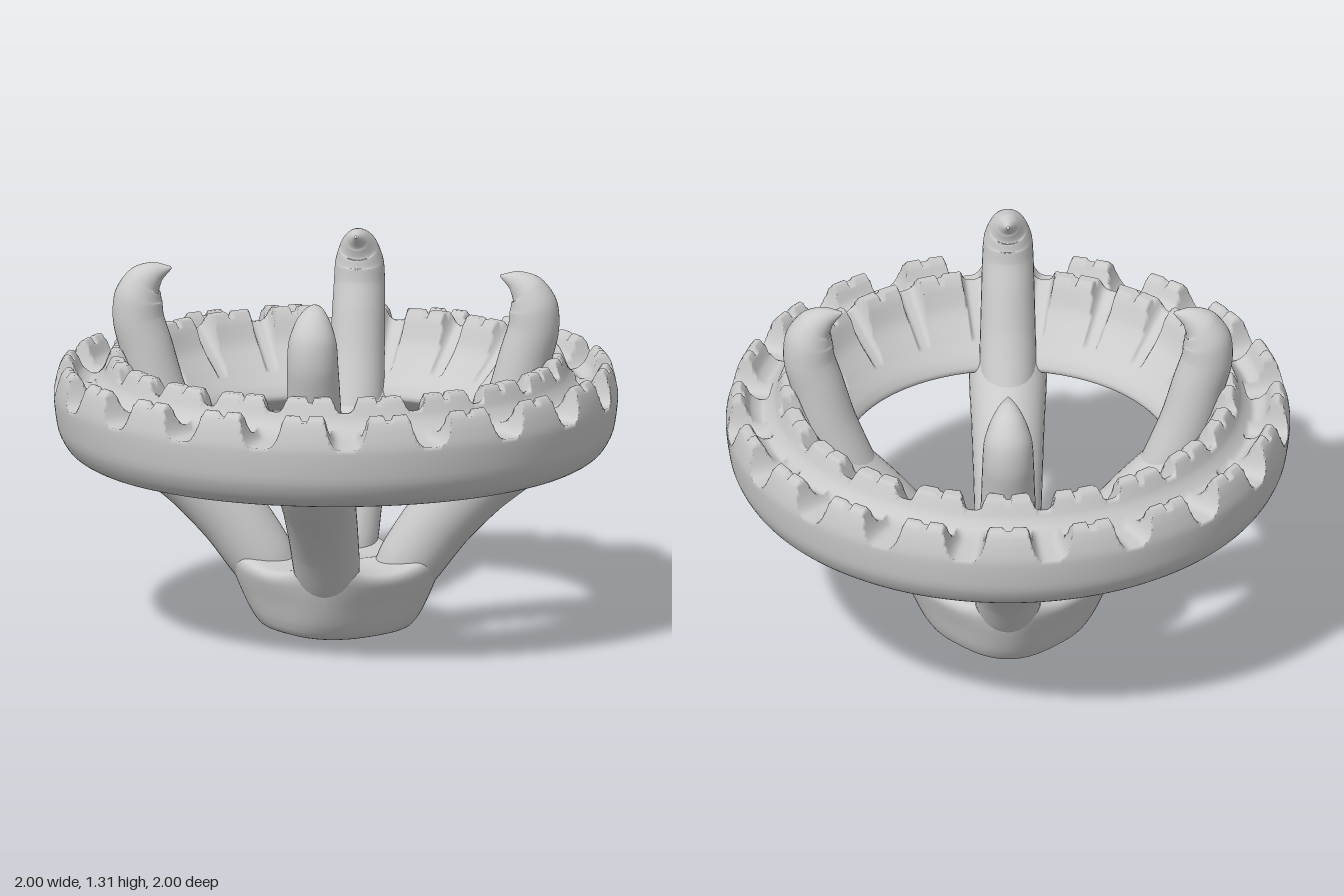
import * as THREE from 'three';
import { ParametricGeometry } from 'three/addons/geometries/ParametricGeometry.js';

const material = new THREE.MeshStandardMaterial({ color: 0xcccccc });

function part(name, rule, uSteps, vSteps) {
  const mesh = new THREE.Mesh(new ParametricGeometry(rule, uSteps, vSteps), material);
  mesh.name = name;
  return mesh;
}

const spline = (points, closed = false) => new THREE.CatmullRomCurve3(
  points.map(([a, b, c = 0]) => new THREE.Vector3(a, b, c)), closed, 'catmullrom', 0.4);

// Ring cross-section as (radius, height): inner edge and wall, inner crest, valley, outer crest, outer wall, underside
const ringProfile = spline([
  [0.583, 0.705], [0.59, 0.745], [0.65, 0.815], [0.71, 0.89], [0.745, 0.975], [0.77, 1.01],
  [0.8, 0.995], [0.83, 0.925], [0.87, 0.885], [0.91, 0.905], [0.935, 0.955], [0.955, 0.975],
  [0.978, 0.95], [0.993, 0.9], [1, 0.84], [0.985, 0.73], [0.95, 0.665], [0.9, 0.632], [0.83, 0.62],
  [0.76, 0.632], [0.67, 0.665],
], true);

// Highest surface allowed at a radius and angle: 20 U-shaped notches, with a small slit in each tooth
const TEETH = 20;
function notchCap(r, angle) {
  const pitch = Math.PI * 2 / TEETH;
  const off = Math.abs(angle / pitch - Math.round(angle / pitch)) * pitch;
  const inner = r < 0.85;
  const d = off * (inner ? 0.78 : 0.97);
  const half = pitch / 2 * (inner ? 0.78 : 0.97);
  const slit = half - d < 0.012 ? 0.022 : 0;
  if (inner) {
    const floor = 0.95 - Math.max(0, 0.8 - r);
    return Math.min(1 - slit, floor + 0.07 * (d / 0.045) ** 4);
  }
  return Math.min(0.97 - slit, 0.855 + 0.115 * (d / 0.08) ** 4);
}

function ringRule(u, v, target) {
  const p = ringProfile.getPoint(u);
  const a = v * Math.PI * 2;
  const y = p.y > 0.8 ? Math.min(p.y, notchCap(p.x, a)) : p.y;
  target.set(p.x * Math.sin(a), y, p.x * Math.cos(a));
}

// Hub: half width and height from the underside to the top
const hubProfile = spline([
  [0.001, 0], [0.12, 0], [0.2, 0.003], [0.24, 0.02], [0.262, 0.06], [0.285, 0.13],
  [0.312, 0.21], [0.305, 0.24], [0.27, 0.25], [0.14, 0.25], [0.001, 0.25],
]);

// Rounded square that gets squarer upwards; its top corners rise into the arms
function hubRule(u, v, target) {
  const p = hubProfile.getPoint(u);
  const a = v * Math.PI * 2;
  const n = 2.6 + 10 * p.y;
  const k = p.x / (Math.abs(Math.cos(a)) ** n + Math.abs(Math.sin(a)) ** n) ** (1 / n);
  const x = k * Math.cos(a);
  const z = k * Math.sin(a);
  const rise = 1.3 * Math.min(Math.abs(x), Math.abs(z)) ** 2 * (p.y / 0.25) ** 3;
  target.set(x, p.y + rise, z);
}

// Round limb in the x-y plane; points are (diagonal x = z, height, radius)
function limbRule(points) {
  const path = spline(points.map(([c, y, r]) => [c * Math.SQRT2, y, r]));
  return (u, v, target) => {
    const p = path.getPoint(u);
    const t = path.getTangent(u);
    const len = Math.hypot(t.x, t.y);
    const a = v * Math.PI * 2;
    const side = Math.cos(a) * p.z;
    target.set(p.x + side * t.y / len, p.y - side * t.x / len, Math.sin(a) * p.z);
  };
}

const armRule = limbRule([
  [0.13, 0.13, 0.085], [0.185, 0.25, 0.115], [0.26, 0.4, 0.123], [0.35, 0.54, 0.13],
  [0.455, 0.67, 0.138], [0.53, 0.75, 0.115], [0.56, 0.78, 0.01],
]);

const hornRule = limbRule([
  [0.34, 0.52, 0.08], [0.41, 0.7, 0.1], [0.45, 0.85, 0.098], [0.478, 1, 0.094], [0.498, 1.1, 0.091],
  [0.499, 1.18, 0.086], [0.484, 1.237, 0.068], [0.455, 1.272, 0.041], [0.415, 1.292, 0.004],
]);

export function createModel() {
  const group = new THREE.Group();
  group.name = 'notchedRingOnStand';
  group.add(part('notchedRing', ringRule, 84, 640));
  group.add(part('hub', hubRule, 50, 96));

  // Four arms with upright horns on the diagonals
  for (let i = 0; i < 4; i++) {
    const support = new THREE.Group();
    support.name = 'support' + (i + 1);
    support.add(part('arm', armRule, 36, 32), part('horn', hornRule, 56, 32));
    support.rotation.y = Math.PI / 4 + i * Math.PI / 2;
    group.add(support);
  }
  return group;
}
